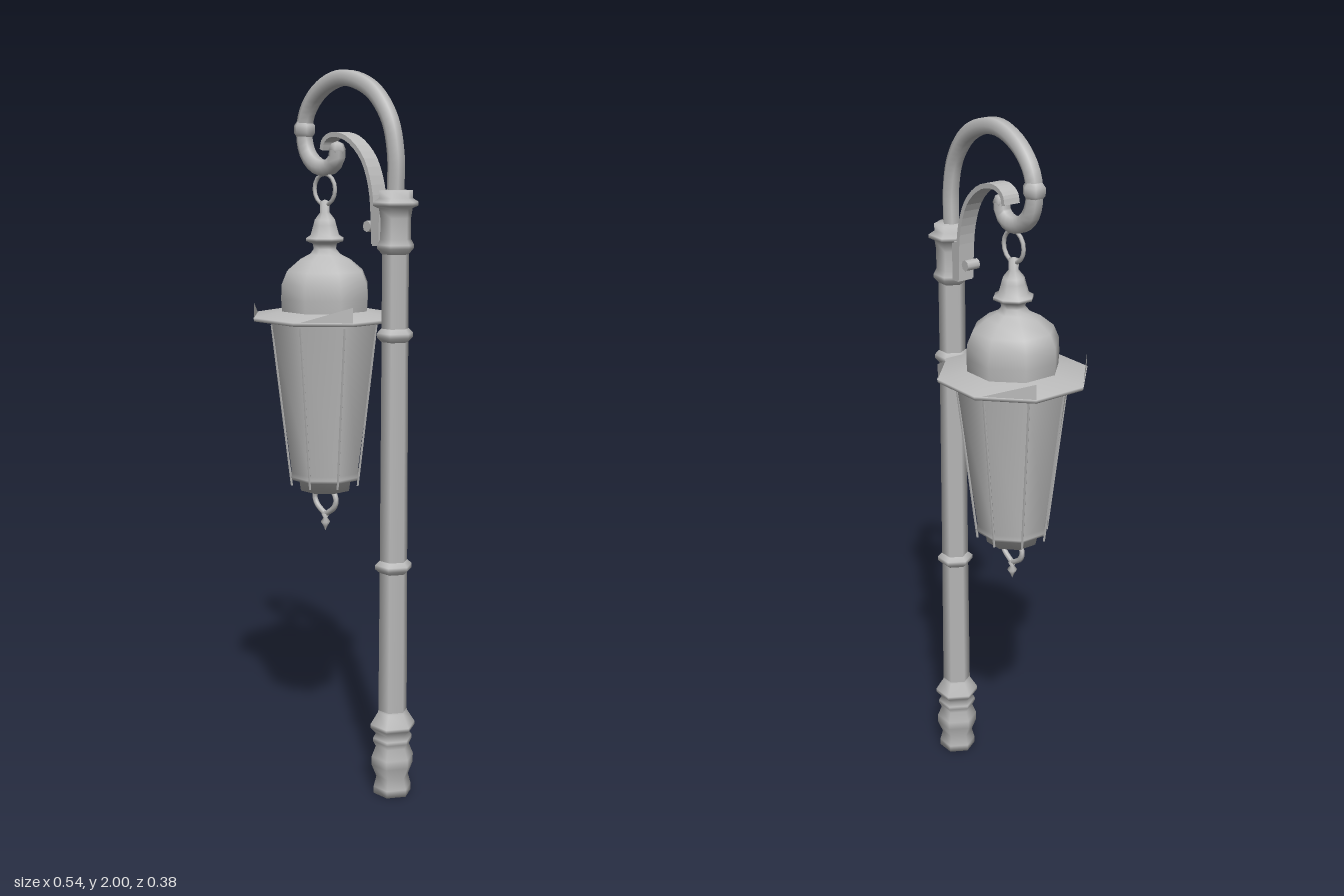
import * as THREE from 'three';

const metal = new THREE.MeshStandardMaterial({ color: 0xbcbcbc });
metal.name = 'grey metal';
const sheet = new THREE.MeshStandardMaterial({ color: 0xbcbcbc, side: THREE.DoubleSide });
sheet.name = 'grey sheet metal';

const POST_X = 0.205, LAMP_X = -0.073;

export function createModel() {
  const model = new THREE.Group();
  model.name = 'hangingLantern';

  const add = (name, geometry, parent = model, material = metal) => {
    const mesh = new THREE.Mesh(geometry, material);
    mesh.name = name;
    parent.add(mesh);
    return mesh;
  };
  // Turned part from [radius, height] pairs, listed from the bottom up
  const turned = (profile, sides, start) =>
    new THREE.LatheGeometry(profile.map(([r, y]) => new THREE.Vector2(r, y)), sides, start);
  const curve = (pts) => new THREE.CatmullRomCurve3(pts.map(([x, y]) => new THREE.Vector3(x, y, 0)));
  // Flat strip that follows a curve in the x-y plane, with a given width in z
  const strip = (pts, thick, width) => {
    const path = curve(pts), a = [], b = [], n = 24;
    for (let i = 0; i <= n; i++) {
      const p = path.getPoint(i / n), t = path.getTangent(i / n);
      const ox = -t.y * thick / 2, oy = t.x * thick / 2;
      a.push(new THREE.Vector2(p.x + ox, p.y + oy));
      b.unshift(new THREE.Vector2(p.x - ox, p.y - oy));
    }
    const g = new THREE.ExtrudeGeometry(new THREE.Shape([...a, ...b]), { depth: width, bevelEnabled: false });
    return g.translate(0, 0, -width / 2);
  };

  // Hexagonal post with moulded foot, rings and collar
  const post = new THREE.Group();
  post.name = 'post';
  post.position.x = POST_X;
  model.add(post);
  const hex = (name, profile) => add(name, turned(profile, 6, Math.PI / 2), post);
  hex('foot', [[0, 0], [0.054, 0], [0.054, 0.02], [0.046, 0.05], [0.06, 0.085], [0.06, 0.11], [0.048, 0.14],
    [0.056, 0.155], [0.056, 0.165], [0.048, 0.178], [0.064, 0.195], [0.064, 0.205], [0.042, 0.24], [0.04, 0.25]]);
  hex('shaft', [[0.041, 0.24], [0.039, 0.66], [0.037, 1.3], [0.037, 1.55]]);
  for (const [y, r] of [[0.66, 0.052], [1.3, 0.05]]) {
    hex('ring', [[0.038, y - 0.018], [r, y - 0.006], [r, y + 0.006], [0.038, y + 0.018]]);
  }
  hex('collar', [[0.037, 1.515], [0.05, 1.53], [0.05, 1.54], [0.042, 1.555], [0.042, 1.61], [0.046, 1.635],
    [0.062, 1.642], [0.062, 1.652], [0.046, 1.662], [0.046, 1.682], [0, 1.685]]);

  // Curled arm and its thicker band
  const armPath = curve([[0.203, 1.66], [0.203, 1.78], [0.178, 1.87], [0.11, 1.945], [0, 1.976], [-0.09, 1.945],
    [-0.145, 1.885], [-0.157, 1.82], [-0.14, 1.77], [-0.1, 1.74], [-0.055, 1.738], [-0.026, 1.76], [-0.022, 1.785]]);
  add('arm', new THREE.TubeGeometry(armPath, 48, 0.024, 6));
  add('armTip', new THREE.SphereGeometry(0.024, 6, 4)).position.set(-0.022, 1.785, 0);
  const band = add('armBand', turned([[0.022, -0.022], [0.031, -0.01], [0.031, 0.01], [0.022, 0.022]], 6));
  band.position.set(-0.156, 1.84, 0);

  // Brace below the arm, with its mounting plate and end knob
  add('brace', strip([[-0.06, 1.785], [-0.052, 1.81], [-0.02, 1.826], [0.04, 1.815], [0.1, 1.765],
    [0.132, 1.69], [0.142, 1.6], [0.143, 1.54]], 0.013, 0.05));
  add('bracePlate', new THREE.BoxGeometry(0.025, 0.11, 0.05)).position.set(0.154, 1.59, 0);
  const knob = add('braceKnob', new THREE.CylinderGeometry(0.015, 0.015, 0.04, 8));
  knob.rotation.x = Math.PI / 2;
  knob.position.set(0.115, 1.585, 0);

  // Eight-sided lantern
  const lantern = new THREE.Group();
  lantern.name = 'lantern';
  lantern.position.x = LAMP_X;
  model.add(lantern);
  const oct = (name, profile) => add(name, turned(profile, 8, Math.PI / 8), lantern);

  oct('glassBody', [[0, 0.832], [0.074, 0.832], [0.078, 0.86], [0.1, 0.865], [0.106, 0.875], [0.1, 0.885],
    [0.158, 1.31], [0.158, 1.33]]);
  oct('dome', [[0.126, 1.335], [0.129, 1.38], [0.127, 1.42], [0.112, 1.455], [0.075, 1.485], [0.045, 1.5],
    [0.033, 1.515], [0.036, 1.53], [0.055, 1.537], [0.055, 1.545], [0.042, 1.553], [0.034, 1.58],
    [0.03, 1.595], [0.014, 1.615], [0.014, 1.645], [0, 1.65]]);
  const brim = oct('brim', [[0.15, 1.318], [0.214, 1.32], [0.216, 1.33], [0.12, 1.347]]);
  brim.scale.z = 0.96;

  // Rising wedge on each diagonal side of the brim
  const at = (a, y) => [0.214 * Math.sin(a), y, 0.205 * Math.cos(a)];
  for (let i = 0; i < 4; i++) {
    const a = Math.PI / 8 + i * Math.PI / 2, b = a + Math.PI / 4;
    const g = new THREE.BufferGeometry();
    g.setAttribute('position', new THREE.Float32BufferAttribute([...at(a, 1.325), ...at(b, 1.325), ...at(b, 1.372)], 3));
    g.computeVertexNormals();
    add('brimWedge', g, lantern, sheet);
  }

  // Thin ribs along the corners of the body
  for (let i = 0; i < 8; i++) {
    const a = Math.PI / 8 + i * Math.PI / 4;
    const low = new THREE.Vector3(0.101 * Math.sin(a), 0.85, 0.101 * Math.cos(a));
    const high = new THREE.Vector3(0.157 * Math.sin(a), 1.31, 0.157 * Math.cos(a));
    add('cornerRib', new THREE.TubeGeometry(new THREE.LineCurve3(low, high), 1, 0.004, 4), lantern);
  }

  // Hanging ring
  add('hangingRing', new THREE.TorusGeometry(0.042, 0.006, 6, 16), lantern).position.y = 1.678;

  // Mirrored scrolls and pendant under the lantern
  for (const s of [-1, 1]) {
    const path = curve([[s * 0.03, 0.835], [s * 0.045, 0.805], [s * 0.036, 0.782], [0, 0.757]]);
    add('bottomScroll', new THREE.TubeGeometry(path, 10, 0.008, 6), lantern);
  }
  oct('pendant', [[0, 0.708], [0.006, 0.722], [0.014, 0.735], [0.006, 0.746], [0.012, 0.758], [0, 0.77]]);

  return model;
}
